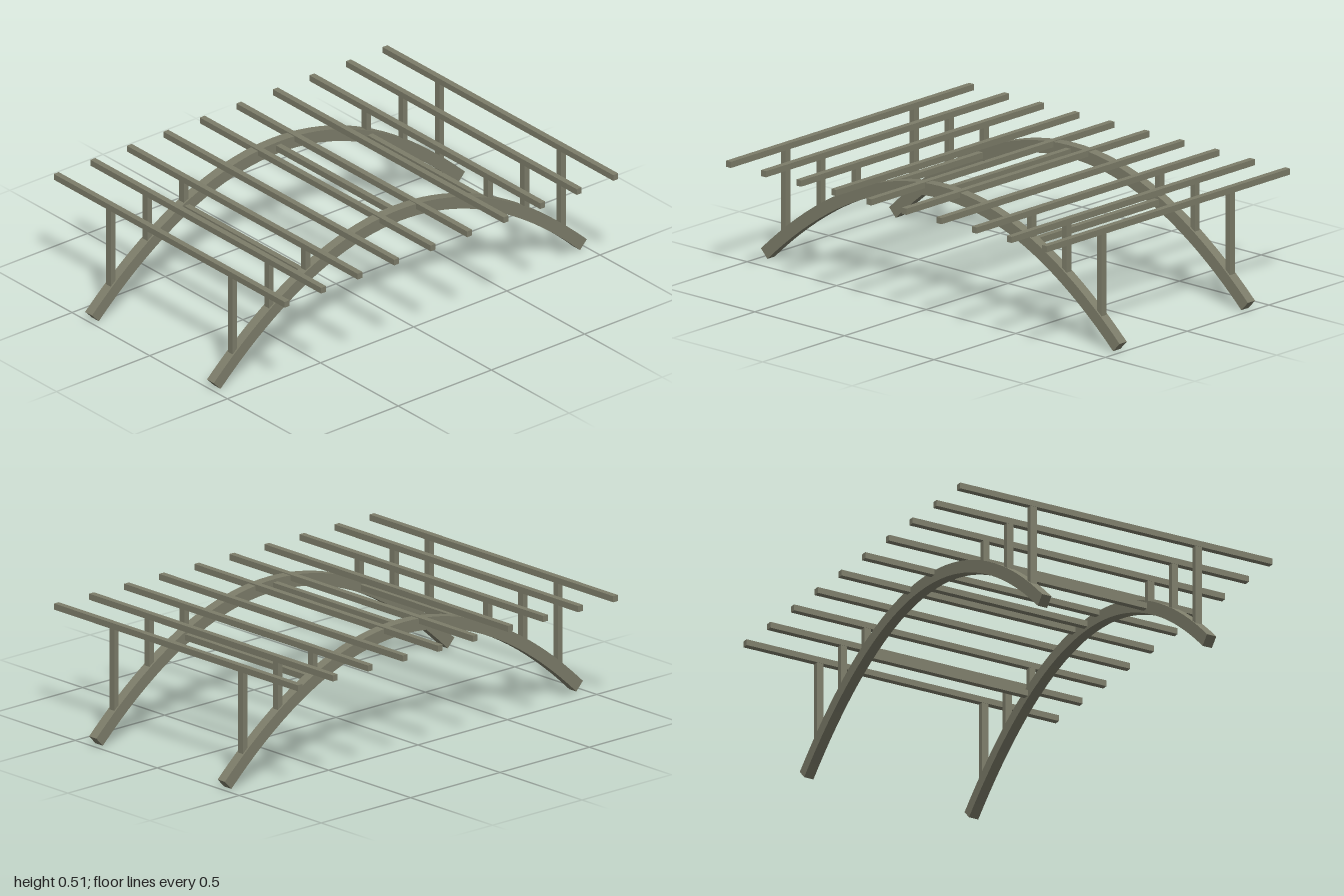
import * as THREE from 'three';

// Curved pergola: two parabolic arched beams carrying level slats on posts
const HALF_SPAN = 0.983, CROWN = 0.486, FOOT = 0.0195;
const BEAM_X = 0.392, BEAM_WIDTH = 0.044, BEAM_HALF_DEPTH = 0.0265;
const SLAT_TOP = 0.5125, BAR = 0.0265;
const K = (CROWN - FOOT) / HALF_SPAN ** 2;
const archY = (z) => CROWN - K * z * z;

export function createModel() {
  const group = new THREE.Group();
  const wood = new THREE.MeshStandardMaterial({ color: 0x7c7c69 });
  wood.name = 'weatheredWood';

  const add = (name, geometry, x, y, z) => {
    const mesh = new THREE.Mesh(geometry, wood);
    mesh.name = name;
    mesh.position.set(x, y, z);
    group.add(mesh);
  };

  // Point on the beam's side outline, offset square to the centre curve
  const edgePoint = (z, offset) => {
    const slope = 2 * K * z, len = Math.hypot(1, slope);
    return new THREE.Vector2(z + (slope / len) * offset, archY(z) + offset / len);
  };

  // Arched beams
  const steps = 40, outer = [], inner = [];
  for (let i = 0; i <= steps; i++) {
    const z = -HALF_SPAN + (2 * HALF_SPAN * i) / steps;
    outer.push(edgePoint(z, BEAM_HALF_DEPTH));
    inner.unshift(edgePoint(z, -BEAM_HALF_DEPTH));
  }
  const beam = new THREE.ExtrudeGeometry(new THREE.Shape([...outer, ...inner]), {
    depth: BEAM_WIDTH, bevelEnabled: false,
  });
  beam.translate(0, 0, -BEAM_WIDTH / 2).rotateY(-Math.PI / 2);
  add('leftArchBeam', beam, BEAM_X, 0, 0);
  add('rightArchBeam', beam, -BEAM_X, 0, 0);

  // Level slats, with posts under the outer three at each end
  const slat = new THREE.BoxGeometry(1.486, BAR, BAR);
  for (let i = 0; i < 10; i++) {
    const z = (i - 4.5) * 0.196;
    add('slat', slat, 0, SLAT_TOP - BAR / 2, z);
    if (Math.abs(z) < 0.4) continue;
    const bottom = archY(z), top = SLAT_TOP - BAR;
    const post = new THREE.BoxGeometry(0.03, top - bottom, 0.025);
    for (const side of [1, -1]) add('post', post, side * BEAM_X, (top + bottom) / 2, z);
  }

  // Cross bars joining the beams at the crown and the quarter points
  const crossBar = new THREE.BoxGeometry(2 * BEAM_X - BEAM_WIDTH, BAR, BAR);
  for (const z of [-HALF_SPAN / 2, 0, HALF_SPAN / 2]) add('crossBar', crossBar, 0, archY(z), z);

  return group;
}
